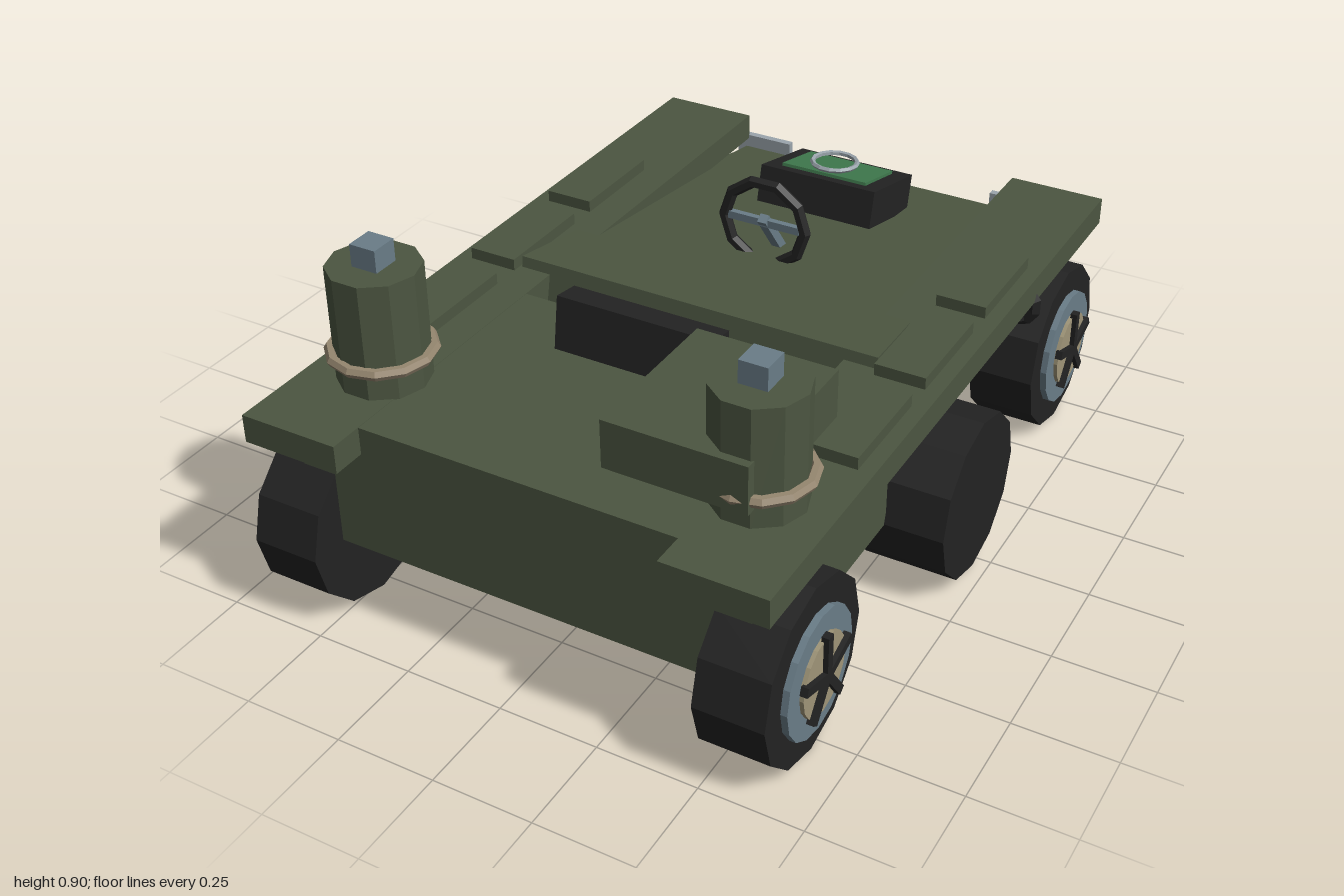
import * as THREE from 'three';

const mat = (name, color) => {
  const m = new THREE.MeshStandardMaterial({ color, flatShading: true });
  m.name = name;
  return m;
};

export function createModel() {
  const root = new THREE.Group();
  root.name = 'armouredBuggy';
  const green = mat('olive green', 0x4c5641);
  const black = mat('rubber black', 0x232323);
  const steel = mat('blue grey steel', 0x6a7d88);
  const tan = mat('tan', 0x9f9578);
  const brass = mat('ring tan', 0x968770);
  const screenGreen = mat('screen green', 0x3f7a4d);
  const pale = mat('pale grey', 0x9ba5ac);

  const add = (name, geo, m, x = 0, y = 0, z = 0, parent = root) => {
    const mesh = new THREE.Mesh(geo, m);
    mesh.name = name;
    mesh.position.set(x, y, z);
    parent.add(mesh);
    return mesh;
  };
  // box given by its limits on each axis
  const block = (name, m, x0, x1, y0, y1, z0, z1, parent = root) =>
    add(name, new THREE.BoxGeometry(Math.abs(x1 - x0), y1 - y0, z1 - z0), m,
      (x0 + x1) / 2, (y0 + y1) / 2, (z0 + z1) / 2, parent);

  // front hull
  block('frontHull', green, -0.572, 0.572, 0.225, 0.562, 0.245, 0.9);

  // rear hull: tapered block whose deck rises towards the front
  const hull = new THREE.BoxGeometry(2, 2, 2);
  const p = hull.attributes.position;
  for (let i = 0; i < p.count; i++) {
    const top = p.getY(i) > 0, front = p.getZ(i) > 0;
    const w = top ? (front ? 0.485 : 0.41) : 0.468;
    const y = top ? (front ? 0.59 : 0.465) : 0.213;
    const z = top ? (front ? 0.135 : -0.9) : (front ? 0.215 : -0.978);
    p.setXYZ(i, Math.sign(p.getX(i)) * w, y, z);
  }
  hull.computeVertexNormals();
  add('rearHull', hull, green);

  // seat
  block('seatCushion', black, -0.205, 0.205, 0.405, 0.455, 0.14, 0.245);
  const back = new THREE.Group();
  back.name = 'seatBack';
  back.position.set(0, 0.6, 0.378);
  back.rotation.x = -0.15;
  root.add(back);
  block('backrest', black, -0.205, 0.205, -0.09, 0.09, -0.037, 0.037, back);
  block('backrestPad', green, -0.16, 0.16, -0.07, 0.07, -0.06, -0.037, back);

  // steering wheel and column
  add('steeringWheel', new THREE.TorusGeometry(0.113, 0.016, 6, 10), black, 0, 0.637, -0.23);
  const column = add('steeringColumn', new THREE.BoxGeometry(0.024, 0.16, 0.024), steel, 0, 0.59, -0.27);
  column.rotation.x = 0.65;
  block('steeringCrossbar', steel, -0.1, 0.1, 0.63, 0.65, -0.238, -0.222);

  // tilted console with screen
  const consoleGroup = new THREE.Group();
  consoleGroup.name = 'console';
  consoleGroup.position.set(0, 0.557, -0.637);
  consoleGroup.rotation.x = -0.235;
  root.add(consoleGroup);
  block('consoleBox', black, -0.165, 0.165, -0.055, 0.045, -0.125, 0.125, consoleGroup);
  block('consoleScreen', screenGreen, -0.122, 0.122, 0.045, 0.053, -0.088, 0.088, consoleGroup);
  const dial = add('consoleRing', new THREE.TorusGeometry(0.06, 0.007, 5, 14), pale, 0, 0.632, -0.63);
  dial.rotation.x = Math.PI / 2 - 0.06;

  // weapon mount box under the left turret
  block('mountBox', green, 0.175, 0.52, 0.61, 0.73, 0.42, 0.825);

  for (const s of [1, -1]) {
    const side = s > 0 ? 'left' : 'right';
    const sb = (name, m, x0, x1, ...r) => block(side + name, m, s * x0, s * x1, ...r);

    // side deck, hatches and the lockers hanging below
    sb('SideDeck', green, 0.402, 0.655, 0.492, 0.563, -0.9, 0.985);
    for (const z of [0.378, 0.028, -0.322]) {
      sb('Hatch', green, 0.49, 0.617, 0.56, 0.593, z - 0.138, z + 0.138);
      sb('LockerUpper', green, 0.46, 0.595, 0.425, 0.495, z - 0.138, z + 0.138);
      sb('LockerLower', green, 0.46, 0.59, 0.383, 0.426, z - 0.13, z + 0.045);
    }
    sb('SideRail', steel, 0.598, 0.624, 0.463, 0.49, -0.495, 0.68);
    const handle = add(side + 'Handle', new THREE.TorusGeometry(0.05, 0.016, 4, 5, Math.PI), black,
      s * 0.605, 0.475, -0.437);
    handle.rotation.z = -s * Math.PI / 2;

    // turret
    const turret = new THREE.CylinderGeometry(0.11, 0.11, 0.295, 10);
    turret.rotateY(Math.PI / 2);
    add(side + 'Turret', turret, green, s * 0.48, 0.705, 0.7);
    add(side + 'TurretCap', new THREE.BoxGeometry(0.068, 0.06, 0.068), steel, s * 0.48, 0.878, 0.7);
    const ring = add(side + 'TurretRing', new THREE.TorusGeometry(0.118, 0.014, 6, 12), brass, s * 0.48, 0.637, 0.7);
    ring.rotation.x = Math.PI / 2;

    // rear lamp
    sb('RearLamp', pale, 0.312, 0.48, 0.378, 0.457, -1.0, -0.98);

    // wheels: short cylinders lying along x
    const disc = (name, r, x0, x1, y, z, m, n = 12) => {
      const g = new THREE.CylinderGeometry(r, r, x1 - x0, n);
      g.rotateZ(Math.PI / 2);
      add(side + name, g, m, s * (x0 + x1) / 2, y, z);
    };
    disc('MiddleWheel', 0.207, 0.485, 0.72, 0.227, 0.046, black);
    for (const [name, z] of [['Front', 0.78], ['Rear', -0.68]]) {
      const y = 0.228;
      disc(name + 'Tyre', 0.22, 0.485, 0.655, y, z, black);
      disc(name + 'Rim', 0.152, 0.64, 0.671, y, z, steel, 16);
      disc(name + 'Hub', 0.098, 0.66, 0.681, y, z, tan, 16);
      // five spokes
      for (let i = 0; i < 5; i++) {
        const g = new THREE.BoxGeometry(0.018, 0.108, 0.022);
        g.translate(0, 0.054, 0);
        add(side + name + 'Spoke', g, black, s * 0.684, y, z).rotation.x = i * Math.PI * 0.4;
      }
    }
  }
  return root;
}
